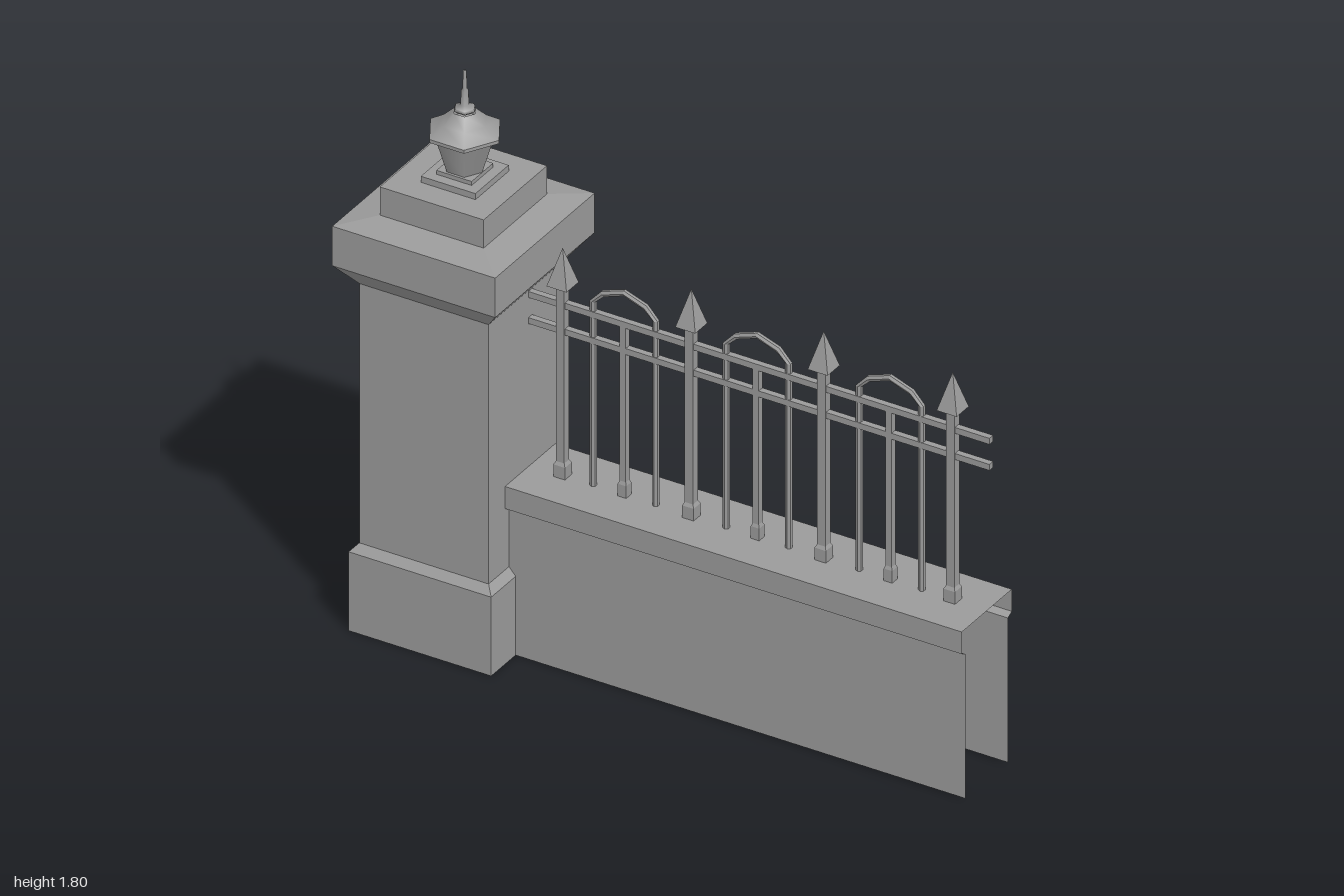
import * as THREE from 'three';

const stone = new THREE.MeshStandardMaterial({ color: 0x9b9b9b, flatShading: true, side: THREE.DoubleSide });
const smooth = new THREE.MeshStandardMaterial({ color: 0x9b9b9b, side: THREE.DoubleSide });

const PILLAR_X = -0.7315, LAMP_X = -0.727, FENCE_Z = -0.012;
const WALL_START = -0.52, WALL_END = 0.986, WALL_TOP = 0.56;

function add(parent, name, geometry, x = 0, y = 0, z = 0, material = stone) {
  const mesh = new THREE.Mesh(geometry, material);
  mesh.name = name;
  mesh.position.set(x, y, z);
  parent.add(mesh);
  return mesh;
}

// Square section that follows a profile of [half width, height]
function squareProfile(profile) {
  const points = profile.map(([r, y]) => new THREE.Vector2(r * Math.SQRT2, y));
  return new THREE.LatheGeometry(points, 4, Math.PI / 4);
}

// Hexagonal section with a corner towards +x
function hexProfile(profile) {
  const points = profile.map(([r, y]) => new THREE.Vector2(r, y));
  return new THREE.LatheGeometry(points, 6, Math.PI / 2);
}

// Path with sharp corners, sampled exactly at its points
class Polyline extends THREE.Curve {
  constructor(points) {
    super();
    this.points = points;
  }
  getPoint(t, target = new THREE.Vector3()) {
    const f = t * (this.points.length - 1);
    const i = Math.min(Math.floor(f + 1e-9), this.points.length - 2);
    return target.lerpVectors(this.points[i], this.points[i + 1], f - i);
  }
  getPointAt(u, target) { return this.getPoint(u, target); }
  getTangentAt(u, target) { return this.getTangent(u, target); }
}

// Square upright bar standing on the wall, with a small foot
function bar(parent, name, x, top, half, footHalf) {
  const h = top - WALL_TOP;
  add(parent, name, new THREE.BoxGeometry(half * 2, h, half * 2), x, WALL_TOP + h / 2, FENCE_Z);
  const foot = [[footHalf, 0], [footHalf, 0.04], [half, 0.05]];
  add(parent, 'barFoot', squareProfile(foot), x, WALL_TOP, FENCE_Z);
}

function createPillar() {
  const pillar = new THREE.Group();
  pillar.name = 'pillar';
  add(pillar, 'pillarBody', squareProfile([
    [0.235, 0], [0.235, 0.26], [0.213, 0.285], [0.213, 1.14],
    [0.2685, 1.21], [0.2685, 1.34], [0.171, 1.357], [0.171, 1.45], [0, 1.45],
  ]), PILLAR_X);
  return pillar;
}

function createLamp() {
  const lamp = new THREE.Group();
  lamp.name = 'lamp';
  lamp.position.x = LAMP_X;
  add(lamp, 'lampPlate', squareProfile([
    [0.09, 1.45], [0.09, 1.47], [0.058, 1.47], [0.058, 1.483], [0, 1.483],
  ]));
  add(lamp, 'lampGlass', hexProfile([[0.057, 1.48], [0.092, 1.595]]), 0, 0, 0, smooth);
  add(lamp, 'lampEave', hexProfile([[0, 1.595], [0.113, 1.595], [0.113, 1.606]]));
  add(lamp, 'lampRoof', hexProfile([[0.113, 1.606], [0.068, 1.635], [0.034, 1.668]]), 0, 0, 0, smooth);
  add(lamp, 'lampFinial', hexProfile([
    [0.022, 1.665], [0.033, 1.674], [0.03, 1.682], [0.014, 1.69],
    [0.012, 1.735], [0.007, 1.742], [0.006, 1.8], [0, 1.8],
  ]), 0, 0, 0, smooth);
  return lamp;
}

// Low wall with its coping, open underneath and at the free end
function createWall() {
  const section = [
    [0.103, 0], [0.103, 0.476], [0.124, 0.487], [0.124, 0.56],
    [-0.146, 0.56], [-0.146, 0.487], [-0.125, 0.476], [-0.125, 0],
  ];
  const geometry = new THREE.PlaneGeometry(1, 1, 1, section.length - 1);
  const pos = geometry.attributes.position;
  for (let i = 0; i < pos.count; i++) {
    // rows run top to bottom in the plane, so take the section in reverse
    const [z, y] = section[section.length - 1 - Math.floor(i / 2)];
    pos.setXYZ(i, i % 2 ? WALL_END : WALL_START, y, z);
  }
  geometry.computeVertexNormals();
  const wall = new THREE.Group();
  wall.name = 'wall';
  add(wall, 'wallAndCoping', geometry);
  return wall;
}

function createFence() {
  const fence = new THREE.Group();
  fence.name = 'fence';

  // Two rails
  for (const y of [1.041, 1.127]) {
    const length = 1 - WALL_START;
    add(fence, 'rail', new THREE.BoxGeometry(length, 0.02, 0.02), WALL_START + length / 2, y, FENCE_Z);
  }

  // Spear-topped posts
  for (const x of [-0.412, 0.012, 0.448, 0.873]) {
    bar(fence, 'spearPost', x, 1.2, 0.0135, 0.019);
    add(fence, 'spearHead', squareProfile([[0, 0], [0.033, 0], [0, 0.12]]), x, 1.19, FENCE_Z);
  }

  // Hoops, each around a short picket
  const halfHoop = [[-0.103, WALL_TOP], [-0.103, 1.168], [-0.07, 1.202]];
  const hoopPath = [...halfHoop, [0, 1.227], ...halfHoop.map(([x, y]) => [-x, y]).reverse()]
    .map(([x, y]) => new THREE.Vector3(x, y, 0));
  for (const x of [-0.208, 0.23, 0.668]) {
    const tube = new THREE.TubeGeometry(new Polyline(hoopPath), hoopPath.length - 1, 0.01, 6);
    add(fence, 'hoop', tube, x, 0, FENCE_Z);
    bar(fence, 'picket', x, 1.125, 0.01, 0.014);
  }
  return fence;
}

export function createModel() {
  const model = new THREE.Group();
  model.name = 'gatePillarWithFence';
  model.add(createPillar(), createLamp(), createWall(), createFence());
  return model;
}
